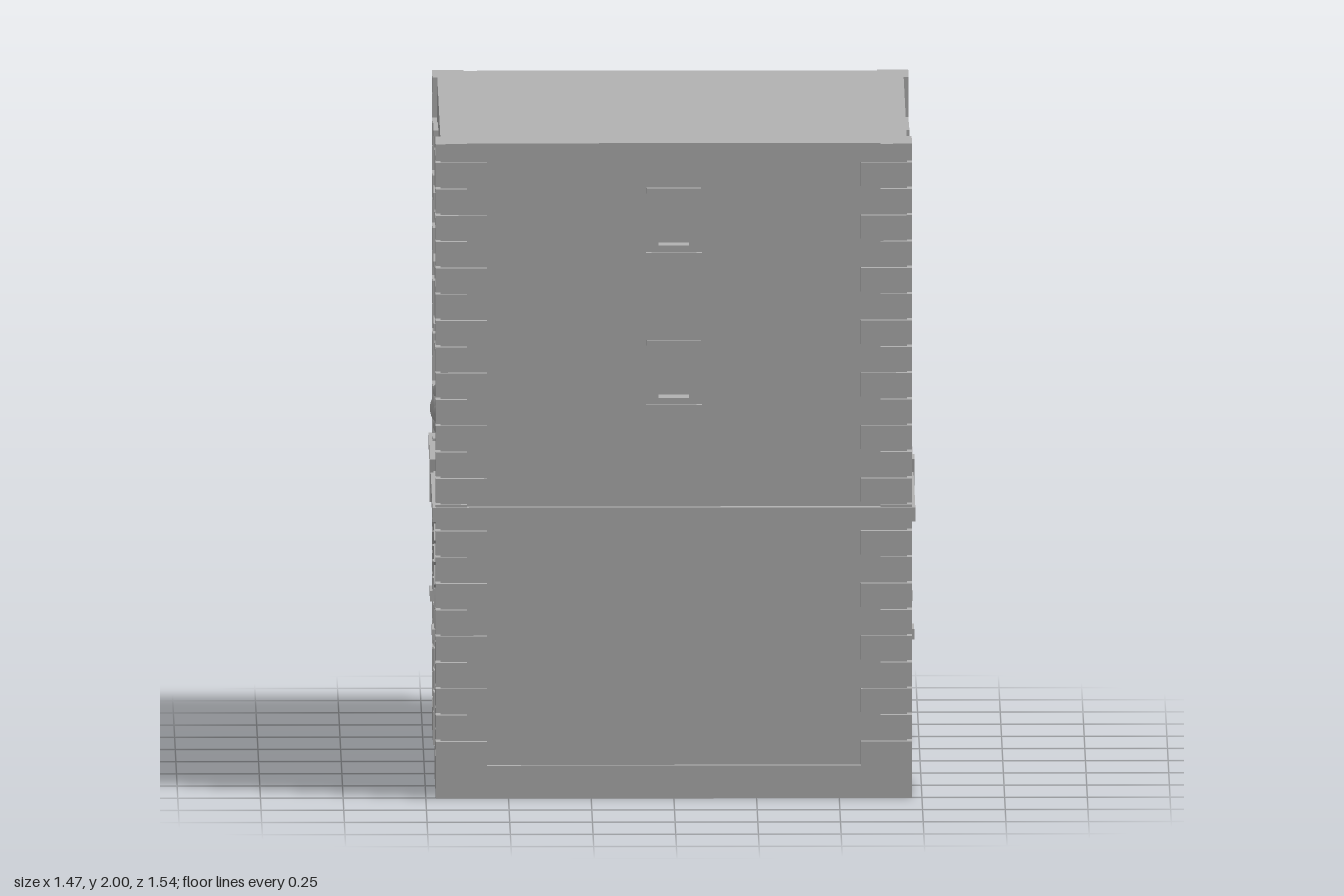
import * as THREE from 'three';

const stone = new THREE.MeshStandardMaterial({ color: 0xb2b2b2 });
stone.name = 'grey stone';

const X = 0.705, Z = 0.745;          // wall faces
const RECESS = 0.06;                 // window depth, also wall plate thickness
const ARCH_R = 0.34, SPRING = 0.46;  // gateway arch

function add(parent, geometry, name) {
  const mesh = new THREE.Mesh(geometry, stone);
  mesh.name = name;
  parent.add(mesh);
  return mesh;
}

// Box given by its minimum and maximum corners
function block(parent, name, x0, x1, y0, y1, z0, z1) {
  const g = new THREE.BoxGeometry(x1 - x0, y1 - y0, z1 - z0);
  g.translate((x0 + x1) / 2, (y0 + y1) / 2, (z0 + z1) / 2);
  return add(parent, g, name);
}

function slab(parent, name, shape, z0, z1) {
  const g = new THREE.ExtrudeGeometry(shape, { depth: z1 - z0, bevelEnabled: false, curveSegments: 48 });
  g.translate(0, 0, z0);
  return add(parent, g, name);
}

function rect(C, x0, x1, y0, y1) {
  const p = new C();
  p.moveTo(x0, y0);
  p.lineTo(x1, y0);
  p.lineTo(x1, y1);
  p.lineTo(x0, y1);
  p.closePath();
  return p;
}

// Wall outline with the arched gateway cut out of the bottom
function archedWall(w) {
  const s = new THREE.Shape();
  s.moveTo(-w, 0);
  s.lineTo(-ARCH_R, 0);
  s.lineTo(-ARCH_R, SPRING);
  s.absarc(0, SPRING, ARCH_R, Math.PI, 0, true);
  s.lineTo(ARCH_R, 0);
  s.lineTo(w, 0);
  s.lineTo(w, 2);
  s.lineTo(-w, 2);
  s.closePath();
  return s;
}

// Raised window surround; y is the underside of the sill, d the wall face
function windowFrame(parent, u, y, d, lift) {
  const g = new THREE.Group();
  g.name = 'windowFrame';
  g.position.set(u, y, d);
  block(g, 'sill', -0.085, 0.085, 0, 0.022, 0, 0.014);
  block(g, 'lintel', -0.082, 0.082, 0.195 + lift, 0.212 + lift, 0, 0.014);
  const surround = rect(THREE.Shape, -0.068, 0.068, 0.022, 0.195 + lift);
  surround.holes.push(rect(THREE.Path, -0.046, 0.046, 0.043, 0.172 + lift));
  slab(g, 'surround', surround, 0, 0.01);
  parent.add(g);
}

// Cut a window opening into a wall outline
function cutWindow(shape, u, y, lift) {
  shape.holes.push(rect(THREE.Path, u - 0.046, u + 0.046, y + 0.043, y + 0.172 + lift));
}

// Front or back wall, facing its local +z
function plainWall(name) {
  const g = new THREE.Group();
  g.name = name;
  const w = X - RECESS;
  const shape = rect(THREE.Shape, -w, w, 0, 2);
  for (const y of [1.18, 1.645]) {
    cutWindow(shape, 0, y, 0.007);
    windowFrame(g, 0, y, Z, 0.007);
  }
  slab(g, 'wall', shape, Z - RECESS, Z);
  return g;
}

// Stones around the gateway
function gateway(parent) {
  const g = new THREE.Group();
  g.name = 'gateway';
  for (const s of [-1, 1]) {
    const side = (name, a, b, y0, y1, d) =>
      block(g, name, Math.min(s * a, s * b), Math.max(s * a, s * b), y0, y1, X - 0.02, d);
    const pitch = 0.067;
    for (let i = 0; i < 5; i++) {
      side('jambStone', ARCH_R, 0.44, 0.1 + i * pitch, 0.1 + (i + 1) * pitch - 0.007, X + 0.014);
    }
    side('impost', ARCH_R, 0.453, 0.438, 0.47, X + 0.024);
  }
  // Wedge stones on both sides of the keystone
  const count = 9, step = 83 / count, rad = Math.PI / 180;
  for (let i = 0; i < count; i++) {
    for (const s of [0, 1]) {
      let a = (i * step + 0.5) * rad, b = ((i + 1) * step - 0.8) * rad;
      if (s) [a, b] = [Math.PI - b, Math.PI - a];
      const wedge = new THREE.Shape();
      wedge.absarc(0, SPRING, 0.44, a, b, false);
      wedge.absarc(0, SPRING, ARCH_R, b, a, true);
      wedge.closePath();
      const geo = new THREE.ExtrudeGeometry(wedge, { depth: 0.037, bevelEnabled: false, curveSegments: 4 });
      geo.translate(0, 0, X - 0.02);
      add(g, geo, 'archStone');
    }
  }
  const key = new THREE.Shape([[-0.038, 0.798], [0.038, 0.798], [0.052, 0.93], [-0.052, 0.93]]
    .map(p => new THREE.Vector2(...p)));
  slab(g, 'keystone', key, X - 0.02, X + 0.028);
  parent.add(g);
}

// Gateway wall, facing its local +z
function gateWall(name) {
  const g = new THREE.Group();
  g.name = name;
  const shape = archedWall(Z);
  for (const u of [-0.255, 0.255]) {
    for (const y of [1.29, 1.69]) {
      cutWindow(shape, u, y, 0);
      windowFrame(g, u, y, X, 0);
    }
  }
  slab(g, 'wall', shape, X - RECESS, X);
  gateway(g);
  return g;
}

// Raised rectangular border
function border(parent, name, w, y0, y1, t, depth) {
  const s = rect(THREE.Shape, -w, w, y0, y1);
  s.holes.push(rect(THREE.Path, -w + t, w - t, y0 + t, y1 - t));
  slab(parent, name, s, X, X + depth);
}

export function createModel() {
  const model = new THREE.Group();
  model.name = 'gateTower';

  // Solid core with the tunnel running from side to side
  const core = slab(model, 'core', archedWall(Z - RECESS), -(X - RECESS), X - RECESS);
  core.rotation.y = Math.PI / 2;

  // Four walls
  const front = plainWall('frontWall');
  const back = plainWall('backWall');
  back.rotation.y = Math.PI;
  const left = gateWall('leftWall');
  left.rotation.y = Math.PI / 2;
  const right = gateWall('rightWall');
  right.rotation.y = -Math.PI / 2;
  model.add(front, back, left, right);

  // Long framed panel on one gate wall, small carved plaque on the other
  border(left, 'panelFrame', 0.268, 0.97, 1.17, 0.02, 0.01);
  const plaque = new THREE.Group();
  plaque.name = 'plaque';
  border(plaque, 'plaqueFrame', 0.1, 0.985, 1.175, 0.012, 0.01);
  const bulge = (name, x, y, rx, ry, rz) => {
    const geo = new THREE.SphereGeometry(1, 20, 12);
    geo.scale(rx, ry, rz);
    geo.translate(x, y, X);
    add(plaque, geo, name);
  };
  bulge('plaqueBoss', 0, 1.08, 0.035, 0.045, 0.027);
  for (const s of [-1, 1]) {
    bulge('plaqueLobe', s * 0.05, 1.08, 0.028, 0.02, 0.018);
    bulge('plaqueLobe', 0, 1.08 + s * 0.052, 0.018, 0.026, 0.018);
  }
  right.add(plaque);

  // Plinth on each side of the tunnel, and the band at mid height
  block(model, 'plinth', -0.72, 0.72, 0, 0.1, ARCH_R, 0.762);
  block(model, 'plinth', -0.72, 0.72, 0, 0.1, -0.762, -ARCH_R);
  block(model, 'bandCourse', -0.73, 0.73, 0.847, 0.89, -0.77, 0.77);

  // Interlocking corner stones
  const course = 0.0804;
  for (const sx of [-1, 1]) {
    for (const sz of [-1, 1]) {
      for (let k = 0; k < 24; k++) {
        const long = k % 2 === 0;
        const x0 = long ? 0.565 : 0.625, z0 = long ? 0.67 : 0.603;
        const y0 = 0.1 + k * course;
        const y1 = Math.min(2, y0 + course - 0.007);
        const m = block(model, 'cornerStone', x0, 0.72, y0, y1, z0, 0.762);
        m.geometry.translate(
          (sx - 1) * (x0 + 0.72) / 2, 0, (sz - 1) * (z0 + 0.762) / 2);
      }
    }
  }
  return model;
}
